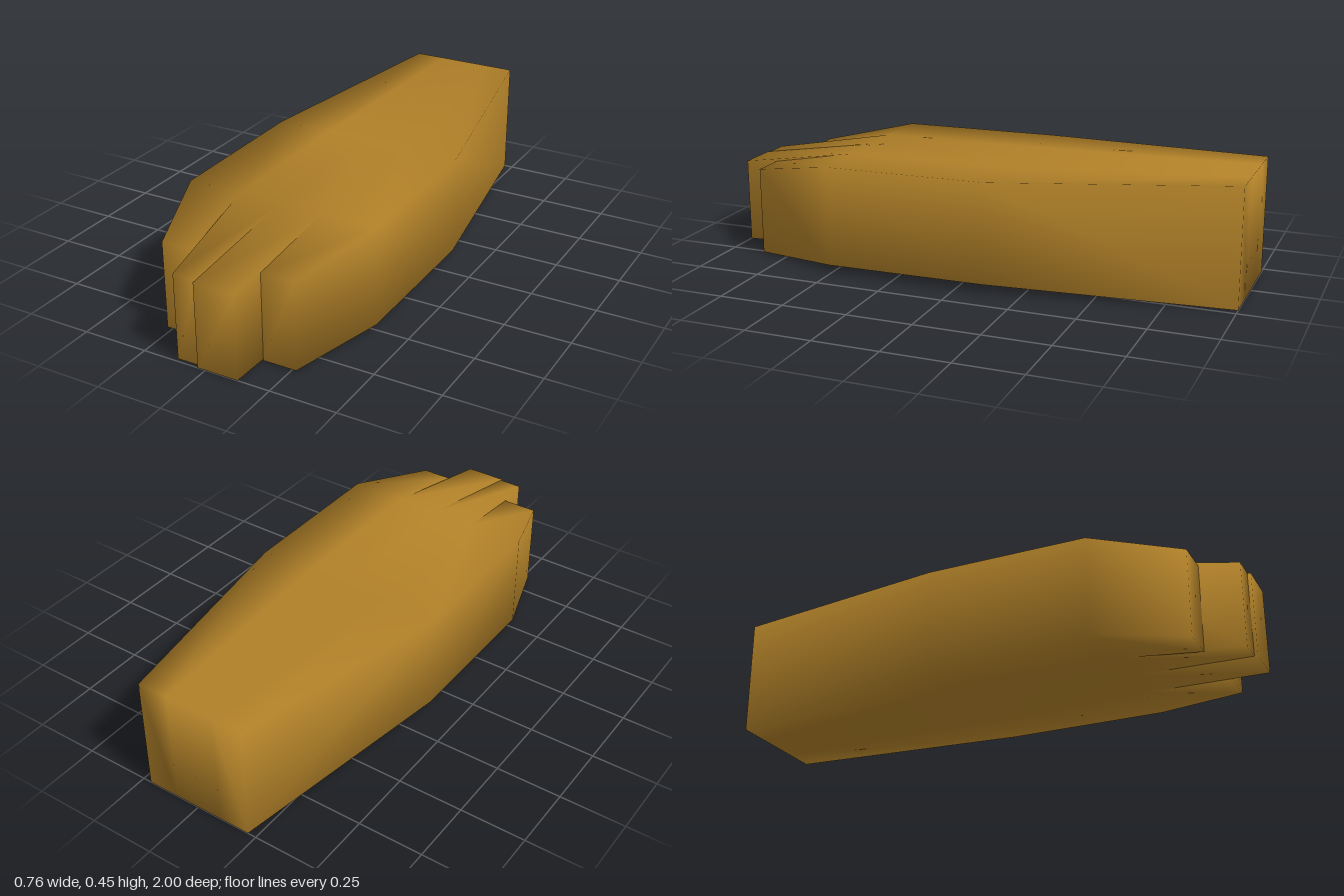
import * as THREE from 'three';

export function createModel() {
  const group = new THREE.Group();
  const fur = new THREE.MeshStandardMaterial({ color: 0xb08028 });
  fur.name = 'golden brown';

  const points = [];
  const index = [];
  const vertex = (x, y, z) => points.push(x, y, z) / 3 - 1;
  const quad = (a, b, c, d) => index.push(a, b, c, a, c, d);

  // Body cross-sections from heel to knuckles, each split into four columns
  const columns = [-1, -0.44, 0, 0.44, 1];
  const rings = [
    { z: -1, half: 0.217, bottom: 0.002, top: 0.45 },
    { z: -0.11, half: 0.38, bottom: 0.034, top: 0.415 },
    { z: 0.51, half: 0.38, bottom: 0.03, top: 0.41 },
  ].map(({ z, half, bottom, top }) => ({
    bottom: columns.map((c) => vertex(c * half, bottom, z)),
    top: columns.map((c) => vertex(c * half, top, z)),
  }));

  // Top, sole and sides
  for (let j = 0; j < 2; j++) {
    const a = rings[j];
    const b = rings[j + 1];
    for (let i = 0; i < 4; i++) {
      quad(a.top[i], b.top[i], b.top[i + 1], a.top[i + 1]);
      quad(a.bottom[i], a.bottom[i + 1], b.bottom[i + 1], b.bottom[i]);
    }
    quad(a.bottom[0], b.bottom[0], b.top[0], a.top[0]);
    quad(a.bottom[4], a.top[4], b.top[4], b.bottom[4]);
  }

  // Heel
  const heel = rings[0];
  for (let i = 0; i < 4; i++) {
    quad(heel.bottom[i], heel.top[i], heel.top[i + 1], heel.bottom[i + 1]);
  }

  // Four tapering toes growing out of the last cross-section
  const knuckles = rings[2];
  const toes = [
    { x0: -0.27, x1: -0.136, bottom: 0.005, top: 0.34, z: 0.84 },
    { x0: -0.12, x1: -0.031, bottom: 0.003, top: 0.329, z: 0.987 },
    { x0: -0.031, x1: 0.127, bottom: 0.002, top: 0.326, z: 1 },
    { x0: 0.138, x1: 0.267, bottom: 0.005, top: 0.34, z: 0.86 },
  ];
  toes.forEach(({ x0, x1, bottom, top, z }, i) => {
    const base = [knuckles.bottom[i], knuckles.bottom[i + 1], knuckles.top[i + 1], knuckles.top[i]];
    const tip = [vertex(x0, bottom, z), vertex(x1, bottom, z), vertex(x1, top, z), vertex(x0, top, z)];
    for (let k = 0; k < 4; k++) {
      const n = (k + 1) % 4;
      quad(base[k], base[n], tip[n], tip[k]);
    }
    quad(...tip);
  });

  const geometry = new THREE.BufferGeometry();
  geometry.setAttribute('position', new THREE.Float32BufferAttribute(points, 3));
  geometry.setIndex(index);
  geometry.computeVertexNormals();

  const paw = new THREE.Mesh(geometry, fur);
  paw.name = 'paw';
  group.add(paw);
  return group;
}
